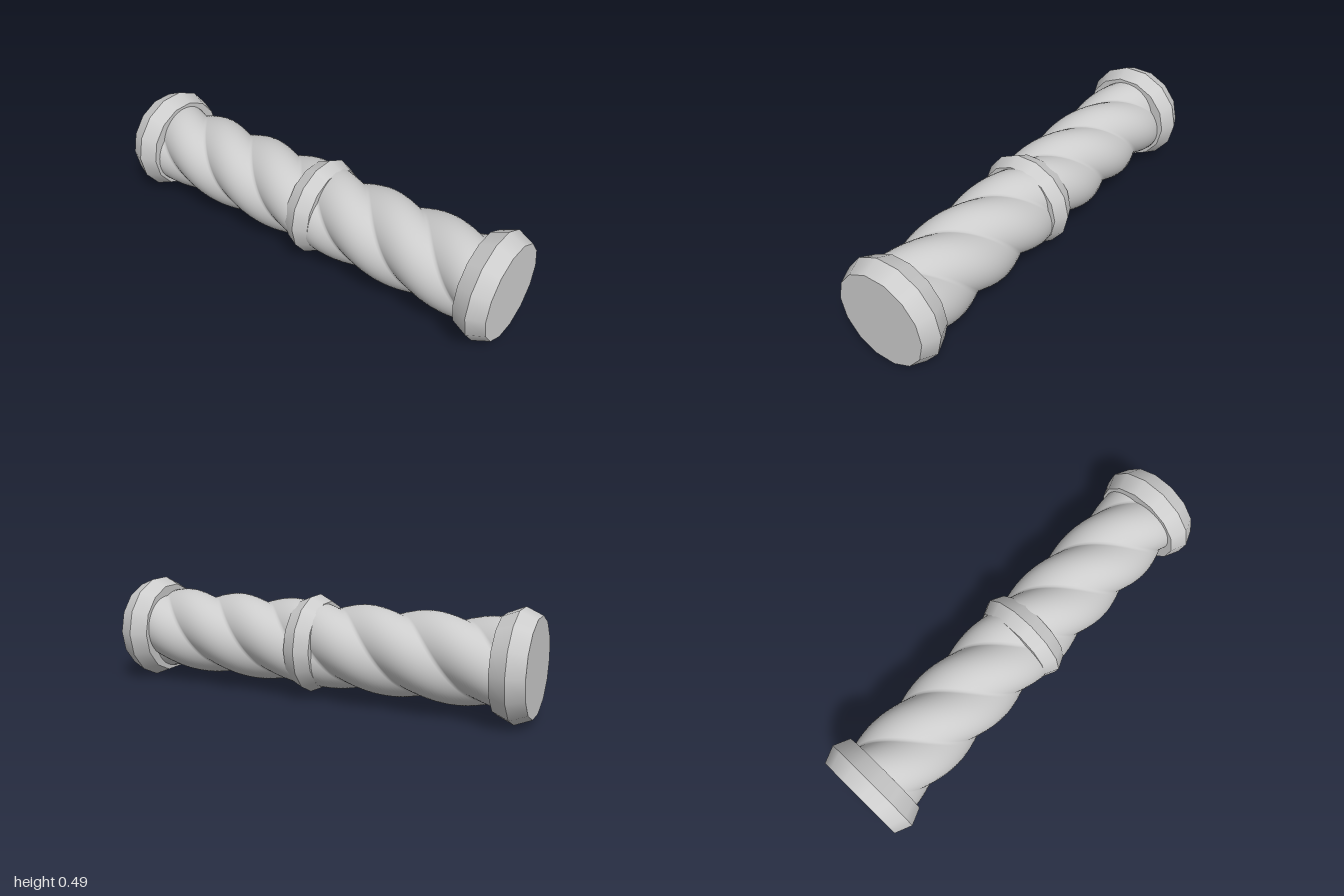
import * as THREE from 'three';

const AXIS_Y = 0.244;
const metal = new THREE.MeshStandardMaterial({ color: 0xcccccc });
metal.name = 'pale grey';

// Ring of two 14-sided frustums meeting at a raised ridge
function collar(name, z, rEdge, rRidge, length) {
  const group = new THREE.Group();
  group.name = name;
  const half = length / 2;
  for (const s of [-1, 1]) {
    const front = s > 0 ? rEdge : rRidge;
    const back = s > 0 ? rRidge : rEdge;
    const geo = new THREE.CylinderGeometry(front, back, half, 14, 1, false, Math.PI / 2);
    geo.rotateX(Math.PI / 2);
    const mesh = new THREE.Mesh(geo, metal);
    mesh.name = s > 0 ? 'frontBevel' : 'backBevel';
    mesh.position.z = s * half / 2;
    group.add(mesh);
  }
  group.position.set(0, AXIS_Y, z);
  return group;
}

// Outline of three overlapping round strands, as a radius for an angle
function strandRadius(angle) {
  const offset = 0.05, r = 0.15, third = Math.PI * 2 / 3;
  const a = angle - Math.round(angle / third) * third;
  return offset * Math.cos(a) + Math.sqrt(r * r - (offset * Math.sin(a)) ** 2);
}

// Twisted three-strand grip between z0 and z1; one strand points to +x at zPhase
function twistedGrip(name, z0, z1, zPhase) {
  const around = 72, along = 72, pitch = 0.9;
  const pos = [], index = [];
  for (let j = 0; j <= along; j++) {
    const z = z0 + (z1 - z0) * j / along;
    const twist = Math.PI * 2 * (z - zPhase) / pitch;
    for (let i = 0; i < around; i++) {
      const a = Math.PI * 2 * i / around;
      const r = strandRadius(a);
      pos.push(r * Math.cos(a + twist), r * Math.sin(a + twist), z);
      if (j === along) continue;
      const p = j * around + i, q = j * around + (i + 1) % around;
      index.push(p, q, q + around, p, q + around, p + around);
    }
  }
  const geo = new THREE.BufferGeometry();
  geo.setAttribute('position', new THREE.Float32BufferAttribute(pos, 3));
  geo.setIndex(index);
  geo.computeVertexNormals();
  const mesh = new THREE.Mesh(geo, metal);
  mesh.name = name;
  mesh.position.y = AXIS_Y;
  return mesh;
}

export function createModel() {
  const model = new THREE.Group();
  model.name = 'twistedHandle';
  model.add(
    twistedGrip('frontGrip', 0.03, 0.95, 0.505),
    twistedGrip('backGrip', -0.95, 0.03, -0.475),
    collar('frontCollar', 0.925, 0.218, 0.25, 0.15),
    collar('backCollar', -0.925, 0.218, 0.25, 0.15),
    collar('middleCollar', 0.033, 0.2, 0.229, 0.126),
  );
  return model;
}
